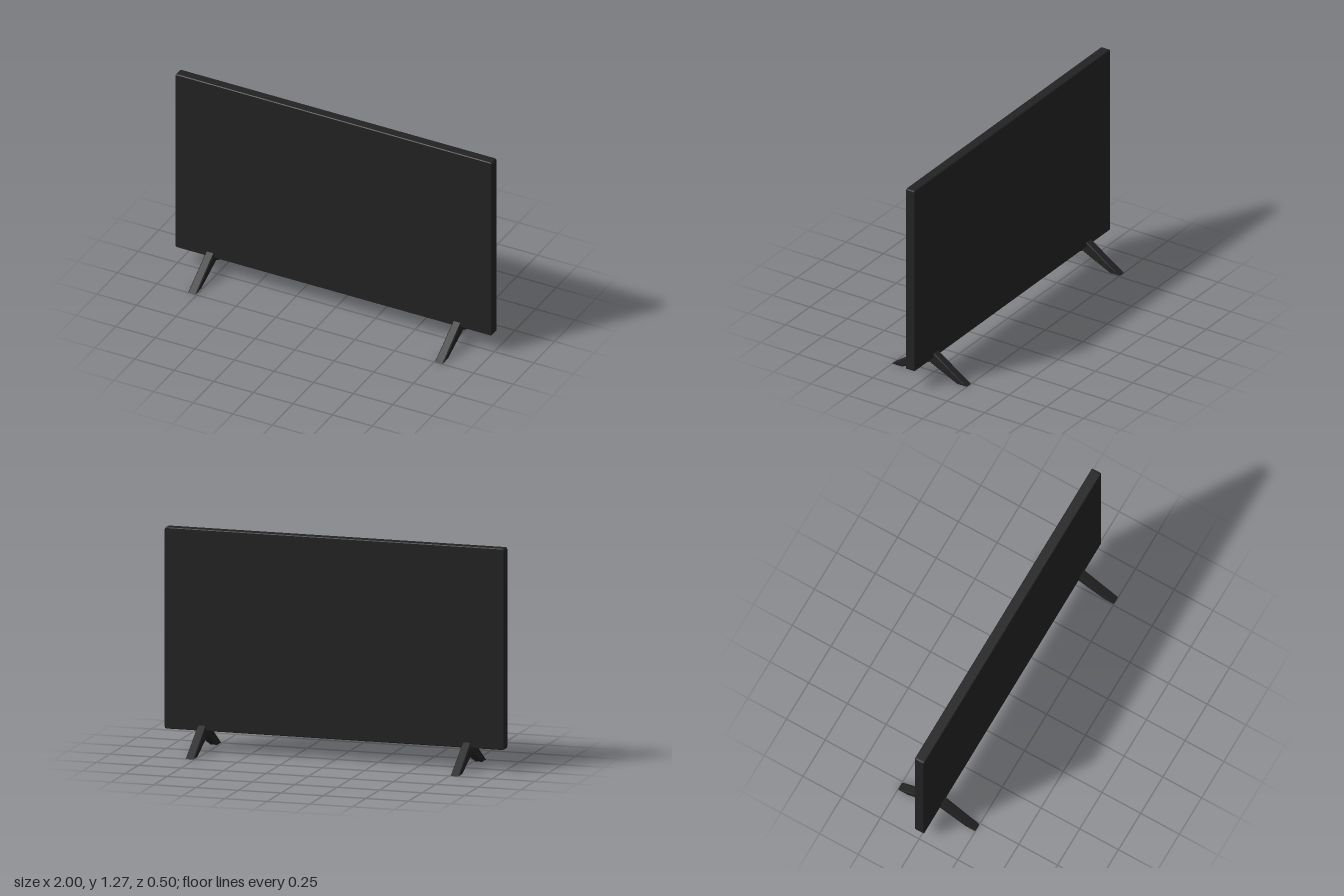
import * as THREE from 'three';

// Extrudes an outline to a centred, chamfered slab without growing its silhouette
function slab(shape, thickness, bevel) {
  const geometry = new THREE.ExtrudeGeometry(shape, {
    depth: thickness - 2 * bevel,
    bevelEnabled: true,
    bevelThickness: bevel,
    bevelSize: bevel,
    bevelOffset: -bevel,
    bevelSegments: 1,
    curveSegments: 4,
  });
  return geometry.translate(0, 0, bevel - thickness / 2);
}

function roundedRect(x0, y0, x1, y1, r) {
  const s = new THREE.Shape();
  s.moveTo(x0 + r, y0);
  s.lineTo(x1 - r, y0);
  s.quadraticCurveTo(x1, y0, x1, y0 + r);
  s.lineTo(x1, y1 - r);
  s.quadraticCurveTo(x1, y1, x1 - r, y1);
  s.lineTo(x0 + r, y1);
  s.quadraticCurveTo(x0, y1, x0, y1 - r);
  s.lineTo(x0, y0 + r);
  s.quadraticCurveTo(x0, y0, x0 + r, y0);
  return s;
}

export function createModel() {
  const model = new THREE.Group();
  model.name = 'television';

  const black = new THREE.MeshStandardMaterial({ color: 0x222222 });
  black.name = 'matte black';

  // Flat display panel
  const panel = new THREE.Mesh(slab(roundedRect(-1, 0.12, 1, 1.27, 0.012), 0.06, 0.004), black);
  panel.name = 'displayPanel';
  model.add(panel);

  // Splayed stand leg profile, drawn across the depth
  const profile = new THREE.Shape([
    [-0.25, 0], [-0.185, 0], [0, 0.086], [0.185, 0], [0.25, 0],
    [0.03, 0.15], [-0.03, 0.15],
  ].map(([z, y]) => new THREE.Vector2(z, y)));
  const legGeometry = slab(profile, 0.05, 0.005).rotateY(-Math.PI / 2);

  // One leg near each end
  for (const [side, name] of [[1, 'leftLeg'], [-1, 'rightLeg']]) {
    const leg = new THREE.Mesh(legGeometry, black);
    leg.name = name;
    leg.position.x = side * 0.78;
    model.add(leg);
  }

  return model;
}
